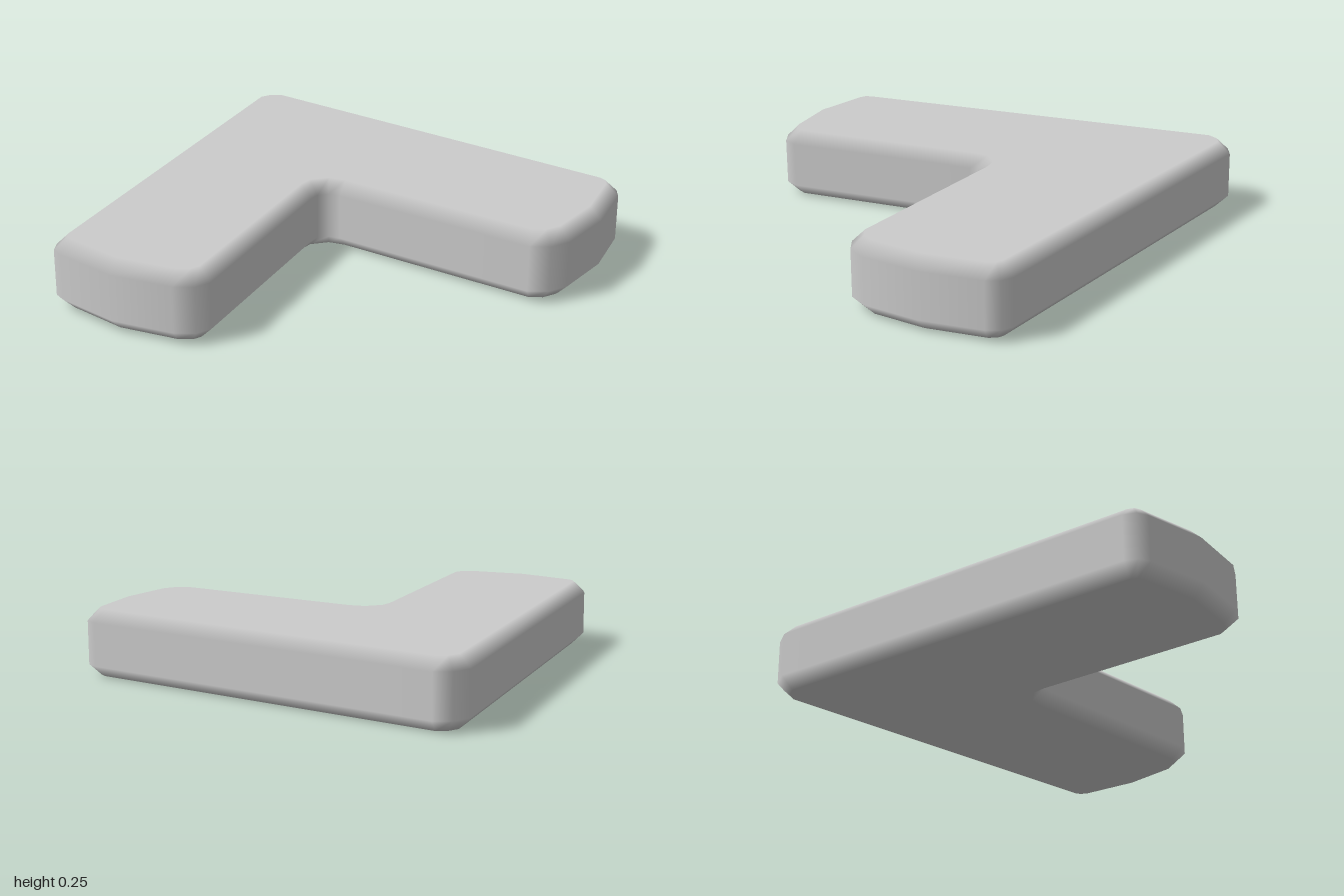
import * as THREE from 'three';

// Outline seen from above as [x, z], clockwise from the rear tip
const OUTLINE = [
  [0, -0.79], [0.065, -0.77], [0.985, 0.355], [1, 0.4], [0.985, 0.45], [0.845, 0.63],
  [0.675, 0.765], [0.6, 0.785], [0.53, 0.765], [0.03, 0.205], [-0.005, 0.18], [-0.045, 0.18],
  [-0.07, 0.2], [-0.545, 0.765], [-0.6, 0.785], [-0.67, 0.765], [-0.85, 0.63],
  [-0.985, 0.44], [-1, 0.4], [-0.985, 0.355], [-0.07, -0.77],
].map(([x, z]) => new THREE.Vector2(x, z));

const HEIGHT = 0.255;
const BEVEL = 0.045;

// Outward unit normal of the edge from a to b
const edgeNormal = (a, b) => new THREE.Vector2(b.y - a.y, a.x - b.x).normalize();

function chevronGeometry() {
  const n = OUTLINE.length;
  const positions = [], normals = [], indices = [];

  // Rings from bottom to top: [inset, height, vertical normal]
  const rings = [
    [BEVEL, 0, -1], [0, BEVEL, 0], [0, HEIGHT - BEVEL, 0], [BEVEL, HEIGHT, 1],
  ];
  for (const [inset, y, up] of rings) {
    OUTLINE.forEach((p, i) => {
      const prev = OUTLINE[(i + n - 1) % n], next = OUTLINE[(i + 1) % n];
      const n1 = edgeNormal(prev, p), n2 = edgeNormal(p, next);
      const miter = n1.clone().add(n2).divideScalar(1 + n1.dot(n2));
      positions.push(p.x - miter.x * inset, y, p.y - miter.y * inset);
      // Long walls dominate the corner normals, so they stay flat
      const side = edgeNormal(prev, next);
      if (up) normals.push(0, up, 0);
      else normals.push(side.x, 0, side.y);
    });
  }

  // Lower bevel, wall and upper bevel
  for (let r = 0; r < 3; r++) {
    for (let i = 0; i < n; i++) {
      const j = (i + 1) % n;
      const a = r * n + i, b = r * n + j;
      indices.push(b, a, a + n, b, a + n, b + n);
    }
  }

  // Flat top and bottom
  const flat = OUTLINE.map((_, i) => new THREE.Vector2(positions[i * 3], -positions[i * 3 + 2]));
  for (const [a, b, c] of THREE.ShapeUtils.triangulateShape(flat, [])) {
    const ccw = (flat[b].x - flat[a].x) * (flat[c].y - flat[a].y)
      - (flat[b].y - flat[a].y) * (flat[c].x - flat[a].x) > 0;
    const [p, q] = ccw ? [b, c] : [c, b];
    indices.push(a + 3 * n, p + 3 * n, q + 3 * n, a, q, p);
  }

  const geometry = new THREE.BufferGeometry();
  geometry.setAttribute('position', new THREE.Float32BufferAttribute(positions, 3));
  geometry.setAttribute('normal', new THREE.Float32BufferAttribute(normals, 3));
  geometry.setIndex(indices);
  return geometry;
}

export function createModel() {
  const grey = new THREE.MeshStandardMaterial({ color: 0xcccccc });
  grey.name = 'light grey';

  const chevron = new THREE.Mesh(chevronGeometry(), grey);
  chevron.name = 'chevron';

  const model = new THREE.Group();
  model.name = 'chevronArrow';
  model.add(chevron);
  return model;
}
